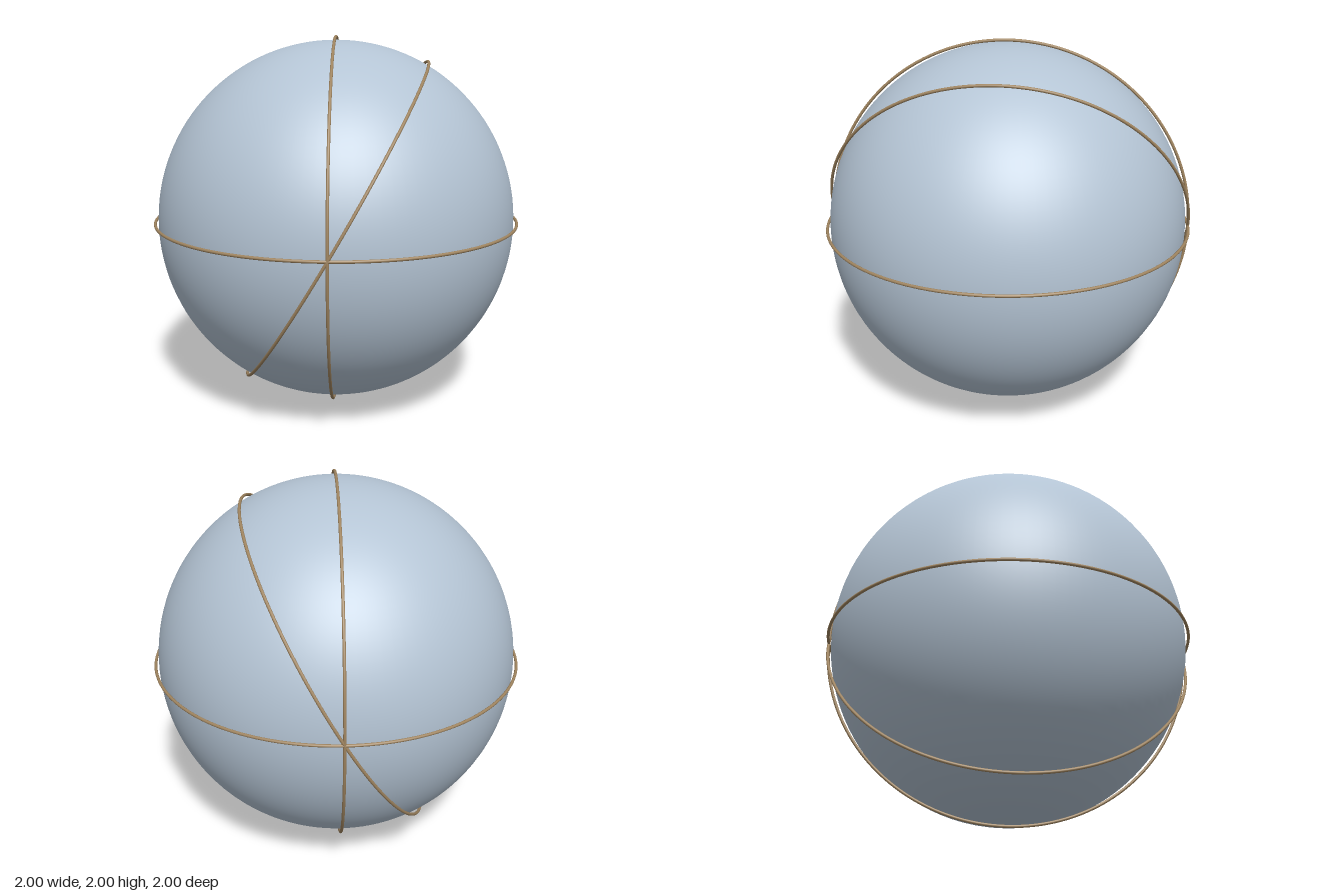
import * as THREE from 'three';

export function createModel() {
  const model = new THREE.Group();
  model.name = 'ringedSphere';

  const paleBlue = new THREE.MeshStandardMaterial({ color: 0xb4c4d4 });
  paleBlue.name = 'pale blue';
  const bronze = new THREE.MeshStandardMaterial({ color: 0xa08560 });
  bronze.name = 'bronze';

  // Smooth globe
  const globe = new THREE.Mesh(new THREE.SphereGeometry(0.974, 96, 64), paleBlue);
  globe.name = 'globe';
  globe.position.y = 1;
  model.add(globe);

  // Thin hoops, all crossing on the front-back axis
  const hoop = new THREE.TorusGeometry(0.992, 0.008, 10, 160).rotateY(Math.PI / 2);
  const tilts = { uprightRing: 0, tiltedRing: -30, equatorRing: 90 };
  for (const [name, degrees] of Object.entries(tilts)) {
    const ring = new THREE.Mesh(hoop, bronze);
    ring.name = name;
    ring.position.y = 1;
    ring.rotation.z = THREE.MathUtils.degToRad(degrees);
    model.add(ring);
  }

  return model;
}
